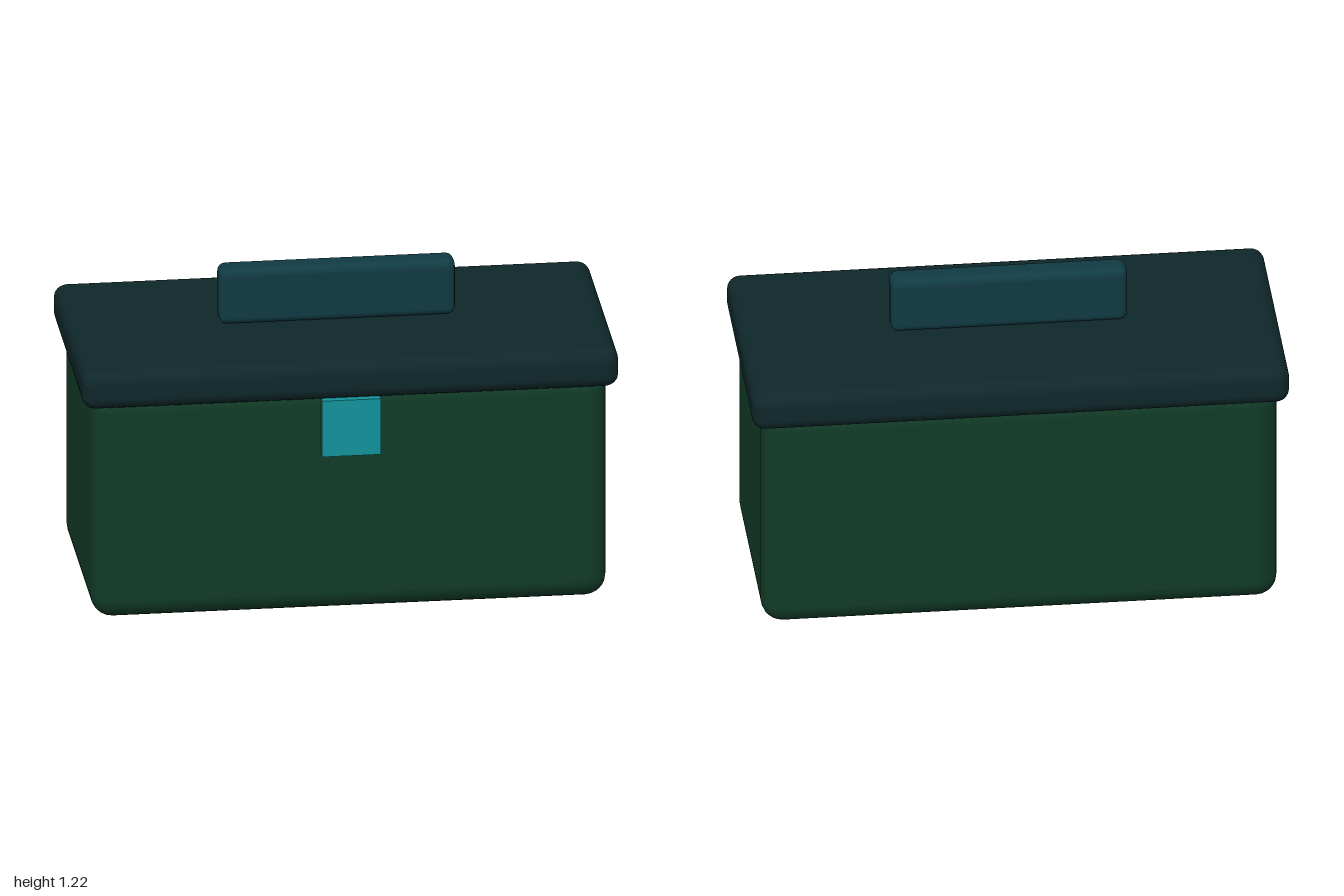
import * as THREE from 'three';
import { RoundedBoxGeometry } from 'three/addons/geometries/RoundedBoxGeometry.js';

function material(name, color) {
  const m = new THREE.MeshStandardMaterial({ color });
  m.name = name;
  return m;
}

export function createModel() {
  const model = new THREE.Group();
  model.name = 'toolbox';

  const darkGreen = material('darkGreen', 0x113b27);
  const blackTeal = material('blackTeal', 0x0f272a);
  const deepTeal = material('deepTeal', 0x113b44);
  const brightTeal = material('brightTeal', 0x11949b);

  // Places a part by its bottom height, so the stacking is easy to follow
  function addPart(name, geometry, mat, height, bottom, z = 0) {
    const mesh = new THREE.Mesh(geometry, mat);
    mesh.name = name;
    mesh.position.set(0, bottom + height / 2, z);
    model.add(mesh);
  }

  // Box body, its rounded top tucked into the lid
  addPart('body', new RoundedBoxGeometry(1.92, 0.9, 0.89, 3, 0.08), darkGreen, 0.9, 0);

  // Overhanging lid
  addPart('lid', new RoundedBoxGeometry(2, 0.15, 0.96, 3, 0.05), blackTeal, 0.15, 0.85);

  // Carrying handle on top of the lid
  addPart('handle', new RoundedBoxGeometry(0.88, 0.22, 0.107, 3, 0.03), deepTeal, 0.22, 1.002);

  // Front latch, sharp-edged
  addPart('latch', new THREE.BoxGeometry(0.22, 0.222, 0.045), brightTeal, 0.222, 0.632, 0.4555);

  return model;
}
